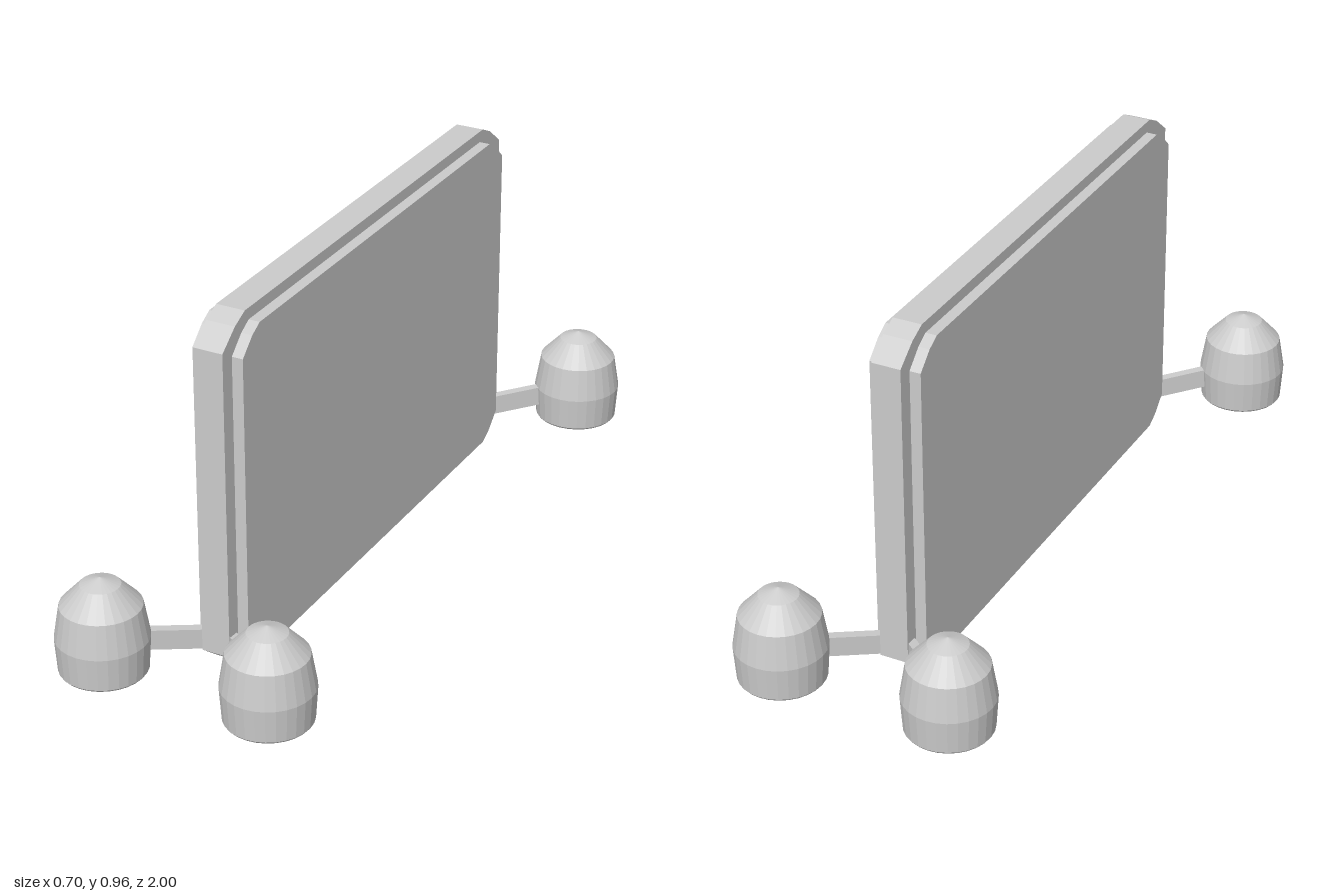
import * as THREE from 'three';

const material = new THREE.MeshStandardMaterial({ color: 0xcccccc, flatShading: true });

// Upright plate across z/y with two-facet corners, centred on x = 0
function plate(name, halfLength, y0, y1, thickness, cutZ, cutY) {
  const midY = (y0 + y1) / 2, h = (y1 - y0) / 2;
  const corner = [[halfLength, h - cutY], [halfLength - cutZ * 0.56, h - cutY * 0.32], [halfLength - cutZ, h]];
  const points = [];
  for (const [sz, sy] of [[1, 1], [-1, 1], [-1, -1], [1, -1]]) {
    const run = sz * sy > 0 ? corner : [...corner].reverse();
    run.forEach(([z, y]) => points.push(new THREE.Vector2(sz * z, midY + sy * y)));
  }
  const geometry = new THREE.ExtrudeGeometry(new THREE.Shape(points), { depth: thickness, bevelEnabled: false });
  geometry.translate(0, 0, -thickness / 2).rotateY(Math.PI / 2);
  const mesh = new THREE.Mesh(geometry, material);
  mesh.name = name;
  return mesh;
}

// Domed pod, hollow from below
const podGeometry = new THREE.LatheGeometry([
  [0, 0.125], [0.088, 0.125], [0.088, 0.041], [0.108, 0.041], [0.112, 0.046],
  [0.118, 0.134], [0.103, 0.223], [0.051, 0.279], [0, 0.298],
].map(([r, y]) => new THREE.Vector2(r, y)), 28);

// Thin strut rising slightly outward, running along its local x
const strutLength = 0.18, strutHeight = 0.054, strutRise = 0.02;
const strutGeometry = new THREE.ExtrudeGeometry(new THREE.Shape([
  new THREE.Vector2(0, 0),
  new THREE.Vector2(strutLength, strutRise),
  new THREE.Vector2(strutLength, strutRise + strutHeight),
  new THREE.Vector2(0, strutHeight),
]), { depth: 0.024, bevelEnabled: false });
strutGeometry.translate(0, 0, -0.012);

export function createModel() {
  const model = new THREE.Group();
  model.name = 'panelWithPods';

  // Central slab and the raised panel showing on both of its sides
  model.add(plate('frameSlab', 0.736, 0, 0.96, 0.077, 0.105, 0.068));
  model.add(plate('sidePanels', 0.694, 0.03, 0.93, 0.136, 0.08, 0.062));

  // Pods on struts at all four lower corners
  const podX = 0.231, podZ = 0.882, rootX = 0.02, rootZ = 0.7;
  for (const sx of [1, -1]) {
    for (const sz of [1, -1]) {
      const pod = new THREE.Mesh(podGeometry, material);
      pod.name = 'pod';
      pod.position.set(sx * podX, 0, sz * podZ);

      const strut = new THREE.Mesh(strutGeometry, material);
      strut.name = 'strut';
      strut.position.set(sx * rootX, 0.065, sz * rootZ);
      strut.rotation.y = Math.atan2(-sz * (podZ - rootZ), sx * (podX - rootX));
      model.add(pod, strut);
    }
  }
  return model;
}
